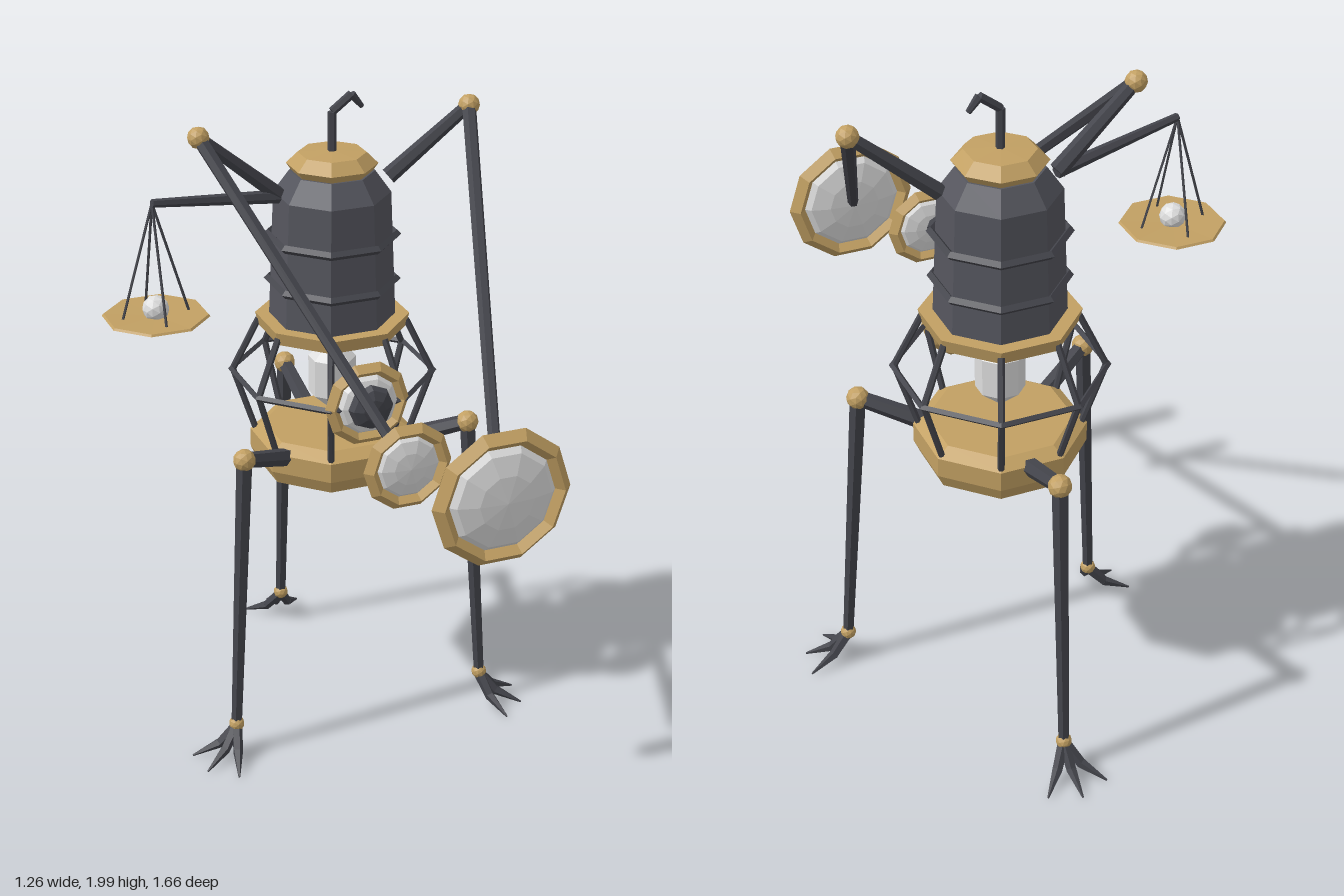
import * as THREE from 'three';

const mat = (name, color) => {
  const m = new THREE.MeshStandardMaterial({ color, flatShading: true });
  m.name = name;
  return m;
};

export function createModel() {
  const iron = mat('dark iron', 0x44454c);
  const shell = mat('lantern iron', 0x55565e);
  const brass = mat('brass', 0xc2a063);
  const glass = mat('pale glass', 0xdedede);

  const model = new THREE.Group();
  model.name = 'walkingLantern';
  const V = (x, y, z) => new THREE.Vector3(x, y, z);

  const add = (parent, name, geo, material, pos) => {
    const m = new THREE.Mesh(geo, material);
    m.name = name;
    if (pos) m.position.copy(pos);
    parent.add(m);
    return m;
  };
  // Tapered bar between two points
  const bar = (parent, name, a, b, ra, rb = ra, material = iron, sides = 6) => {
    const d = b.clone().sub(a);
    const m = add(parent, name, new THREE.CylinderGeometry(rb, ra, d.length(), sides), material,
      a.clone().add(b).multiplyScalar(0.5));
    m.quaternion.setFromUnitVectors(V(0, 1, 0), d.normalize());
    return m;
  };
  const ball = (parent, name, p, r, material = brass) =>
    add(parent, name, new THREE.IcosahedronGeometry(r, 1), material, p);
  // Eight-sided turned part with flat sides facing the axes
  const turned = (parent, name, pts, material, pos) =>
    add(parent, name, new THREE.LatheGeometry(
      pts.map(([r, y]) => new THREE.Vector2(r, y)), 8, Math.PI / 8), material, pos);
  const hoop = (parent, name, R, t, y) => {
    const g = new THREE.TorusGeometry(R, t, 4, 8);
    g.rotateZ(Math.PI / 8);
    g.rotateX(Math.PI / 2);
    return add(parent, name, g, iron, V(0, y, 0));
  };
  // Brass-rimmed glass facing the front
  const lens = (parent, name, p, R, tube, depth) => {
    const g = new THREE.Group();
    g.name = name;
    g.position.copy(p);
    add(g, name + 'Rim', new THREE.TorusGeometry(R - tube, tube, 4, 10), brass);
    const s = new THREE.SphereGeometry(1, 10, 6);
    s.rotateX(Math.PI / 2);
    s.scale(R - tube * 1.6, R - tube * 1.6, depth);
    add(g, name + 'Glass', s, glass);
    parent.add(g);
    return g;
  };

  // Lantern body, centred on its own axis
  const body = new THREE.Group();
  body.name = 'lantern';
  body.position.set(0.09, 0, -0.225);
  model.add(body);

  turned(body, 'base', [[0, 0.833], [0.23, 0.833], [0.25, 0.875], [0.25, 0.935], [0.21, 0.96], [0, 0.96]], brass);
  turned(body, 'collar', [[0, 1.28], [0.22, 1.28], [0.23, 1.32], [0, 1.32]], brass);
  turned(body, 'housing', [[0, 1.32], [0.188, 1.32], [0.172, 1.7], [0.125, 1.765], [0, 1.765]], shell);
  turned(body, 'cap', [[0, 1.76], [0.115, 1.76], [0.134, 1.787], [0.1, 1.82], [0, 1.825]], brass);
  [1.43, 1.57].forEach((y) => hoop(body, 'housingBand', 0.19, 0.013, y));
  turned(body, 'bulb', [[0, 1], [0.072, 1.065], [0.072, 1.18], [0, 1.245]], glass);
  hoop(body, 'cageHoop', 0.305, 0.01, 1.135);

  // Bent cage ribs at the eight corners
  for (let i = 0; i < 8; i++) {
    const a = Math.PI / 8 + (i * Math.PI) / 4;
    const at = (r, y) => V(r * Math.cos(a), y, r * Math.sin(a));
    bar(body, 'cageRib', at(0.235, 0.94), at(0.3, 1.135), 0.01);
    bar(body, 'cageRib', at(0.3, 1.135), at(0.22, 1.3), 0.01);
  }

  // Hanging hook
  const hook = [V(0, 1.81, 0), V(0, 1.94, 0), V(0.06, 1.985, 0), V(0.092, 1.945, 0)];
  for (let i = 0; i < 3; i++) bar(body, 'hook', hook[i], hook[i + 1], 0.013, i === 2 ? 0.008 : 0.013);

  // Front eye with a dark pupil
  const eye = lens(body, 'eye', V(0, 1.14, 0.275), 0.132, 0.022, 0.04);
  const pupil = new THREE.SphereGeometry(1, 8, 6);
  pupil.rotateX(Math.PI / 2);
  pupil.scale(0.07, 0.07, 0.04);
  add(eye, 'pupil', pupil, iron, V(0, 0, 0.028));

  // Three legs, 120 degrees apart, built along +x and turned
  for (let i = 0; i < 3; i++) {
    const leg = new THREE.Group();
    leg.name = 'leg';
    leg.rotation.y = -Math.PI / 6 + (i * Math.PI * 2) / 3;
    const hip = V(0.21, 0.92, 0), knee = V(0.413, 0.988, 0), ankle = V(0.473, 0.11, 0);
    bar(leg, 'thigh', hip, knee, 0.028, 0.023);
    bar(leg, 'shin', knee, ankle, 0.025, 0.017);
    ball(leg, 'knee', knee, 0.034);
    ball(leg, 'ankle', ankle, 0.024);
    [-1, 0, 1].forEach((s) => {
      const a = s * 0.75;
      const at = (r, y) => V(0.473 + r * Math.cos(a), y, r * Math.sin(a));
      bar(leg, 'toe', at(0, 0.105), at(0.058, 0.04), 0.018, 0.015, iron, 5);
      bar(leg, 'claw', at(0.054, 0.044), at(0.138, 0.006), 0.016, 0.003, iron, 5);
    });
    body.add(leg);
  }

  // Two jointed arms carrying magnifying lenses
  const arm = (name, shoulder, elbow, hand, R, tube, depth) => {
    bar(model, name + 'UpperArm', shoulder, elbow, 0.025, 0.019);
    bar(model, name + 'Forearm', elbow, hand.clone().add(V(0, 0, -depth * 0.5)), 0.021, 0.017);
    ball(model, name + 'Elbow', elbow, 0.032);
    lens(model, name + 'Lens', hand, R, tube, depth);
  };
  arm('right', V(-0.08, 1.715, -0.22), V(-0.325, 1.923, -0.19), V(0.01, 1.174, 0.53), 0.13, 0.022, 0.027);
  arm('left', V(0.265, 1.725, -0.22), V(0.505, 1.923, -0.19), V(0.17, 1.17, 0.785), 0.203, 0.027, 0.042);

  // Weighing pan hung from a beam
  const tip = V(-0.48, 1.765, -0.147);
  bar(model, 'panBeam', V(-0.08, 1.71, -0.215), tip, 0.02, 0.012);
  turned(model, 'pan', [[0, -0.03], [0.08, -0.03], [0.155, 0], [0.15, 0.006], [0, 0.001]], brass, V(-0.48, 1.427, -0.147));
  for (let i = 0; i < 4; i++) {
    const a = (i * Math.PI) / 2;
    bar(model, 'panChain', tip, tip.clone().add(V(0.098 * Math.cos(a), -0.335, 0.098 * Math.sin(a))), 0.004, 0.004, iron, 4);
  }
  ball(model, 'panOrb', V(-0.48, 1.45, -0.147), 0.039, glass);

  return model;
}
